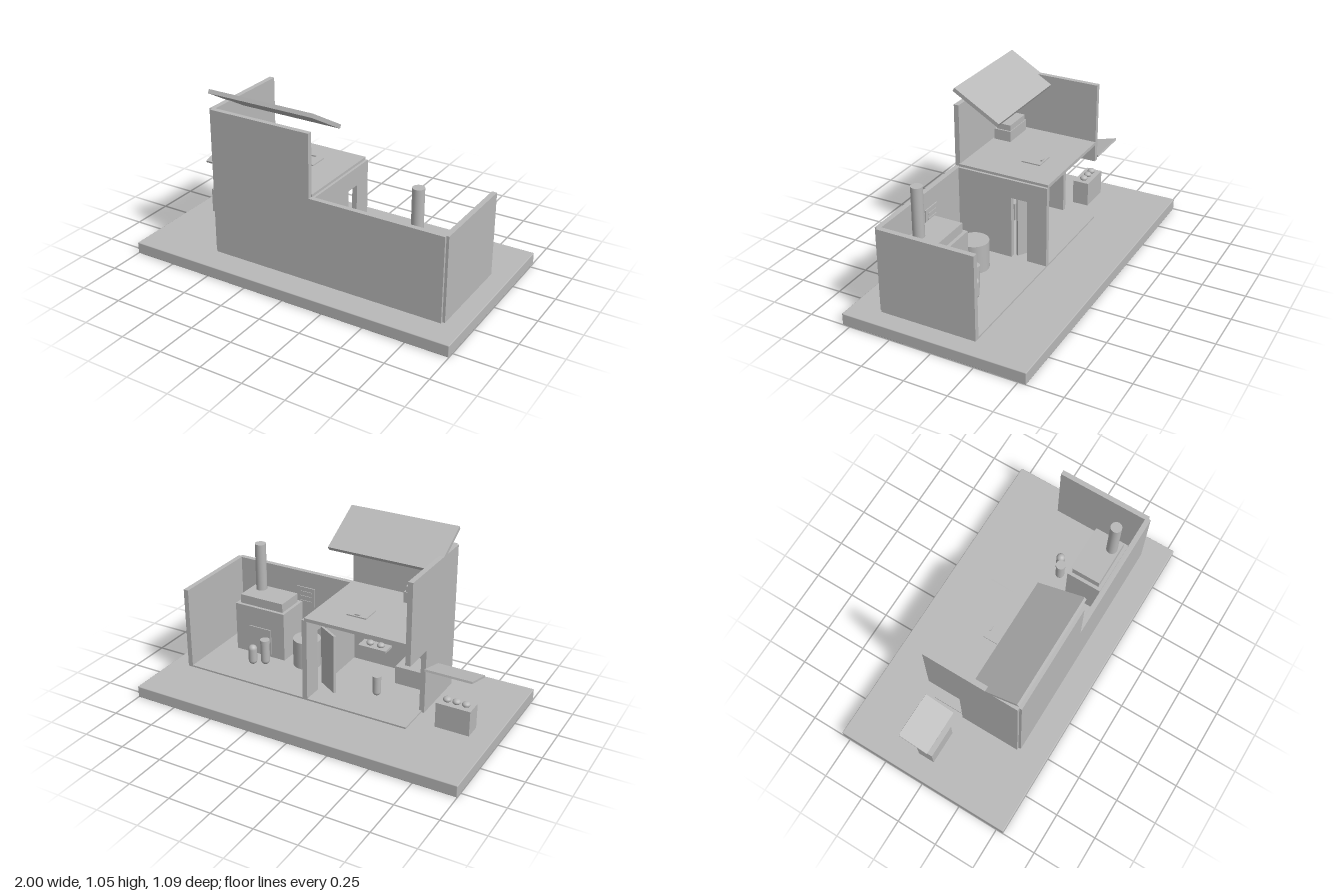
import * as THREE from 'three';
import { RoundedBoxGeometry } from 'three/addons/geometries/RoundedBoxGeometry.js';

export function createModel() {
  const model = new THREE.Group();
  const clay = new THREE.MeshStandardMaterial({ color: 0xb8b8b8 });
  clay.name = 'clay grey';

  function add(name, geometry, x = 0, y = 0, z = 0, parent = model) {
    const mesh = new THREE.Mesh(geometry, clay);
    mesh.name = name;
    mesh.position.set(x, y, z);
    parent.add(mesh);
    return mesh;
  }
  // box given by its lower and upper limits on each axis
  function box(name, [x0, x1], [y0, y1], [z0, z1], parent) {
    return add(name, new THREE.BoxGeometry(x1 - x0, y1 - y0, z1 - z0),
      (x0 + x1) / 2, (y0 + y1) / 2, (z0 + z1) / 2, parent);
  }
  function cylinder(name, r, y0, y1, x, z, parent) {
    return add(name, new THREE.CylinderGeometry(r, r, y1 - y0, 32), x, (y0 + y1) / 2, z, parent);
  }
  function extrude(points, depth) {
    const shape = new THREE.Shape(points.map(([a, b]) => new THREE.Vector2(a, b)));
    return new THREE.ExtrudeGeometry(shape, { depth, bevelEnabled: false });
  }
  // side wall outlined by (z, y) points, between x0 and x1
  function sideWall(name, points, x0, x1) {
    add(name, extrude(points, x1 - x0).rotateY(-Math.PI / 2), x1);
  }
  function group(name) {
    const g = new THREE.Group();
    g.name = name;
    model.add(g);
    return g;
  }
  function loaf(name, x, y, z, parent) {
    add(name, new THREE.SphereGeometry(0.023, 20, 14).scale(1, 0.7, 1), x, y, z, parent);
  }

  // ground and floors
  add('base', new RoundedBoxGeometry(2, 0.07, 1.09, 2, 0.005), 0, 0.035, 0);
  box('groundFloor', [-0.545, 0.875], [0.068, 0.08], [-0.2, 0.37]);
  box('upperFloor', [-0.535, 0.085], [0.565, 0.585], [-0.2, 0.36]);

  // walls: stepped front, plain right end, and two with doorways
  add('frontWall', extrude([[-0.545, 0.07], [0.875, 0.07], [0.875, 0.57],
    [0.08, 0.57], [0.08, 0.94], [-0.545, 0.94]], 0.03), 0, 0, 0.355);
  box('workshopWall', [0.86, 0.89], [0.07, 0.57], [-0.2, 0.37]);
  sideWall('shopWall', [[0, 0.07], [0.37, 0.07], [0.37, 0.94], [-0.2, 0.94],
    [-0.2, 0.46], [0, 0.46]], -0.56, -0.53);
  sideWall('partition', [[-0.2, 0.07], [-0.08, 0.07], [-0.08, 0.46], [0.02, 0.46],
    [0.02, 0.07], [0.36, 0.07], [0.36, 0.57], [-0.2, 0.57]], 0.07, 0.1);

  // open inner door, hinged on the partition
  const door = add('door', new THREE.BoxGeometry(0.145, 0.36, 0.015), 0.02, 0.27, -0.045);
  door.rotation.y = -0.55;

  // raised roof and the awning over the stall
  const roof = add('roof', new THREE.BoxGeometry(0.66, 0.023, 0.316), -0.23, 0.96, 0.235);
  roof.rotation.x = -Math.PI / 6;
  const awning = add('awning', new THREE.BoxGeometry(0.27, 0.012, 0.184), -0.765, 0.421, -0.088);
  awning.rotation.x = 0.27;

  // market stall
  const stall = group('stall');
  box('stallCrate', [-0.87, -0.67], [0.07, 0.22], [-0.1, 0], stall);
  for (const x of [-0.825, -0.77, -0.715]) loaf('goods', x, 0.23, -0.05, stall);

  // oven with stepped top, door and chimney
  const oven = group('oven');
  box('ovenBody', [0.415, 0.75], [0.08, 0.385], [0.115, 0.33], oven);
  box('ovenTop', [0.435, 0.725], [0.385, 0.44], [0.135, 0.31], oven);
  box('ovenDoor', [0.505, 0.655], [0.1, 0.26], [0.108, 0.115], oven);
  cylinder('chimney', 0.033, 0.44, 0.735, 0.66, 0.265, oven);

  // workshop furniture
  cylinder('roundTable', 0.083, 0.08, 0.25, 0.28, 0.155);
  box('wallBoard', [0.34, 0.46], [0.35, 0.47], [0.348, 0.355]);
  for (const y of [0.38, 0.41, 0.44]) box('boardSlat', [0.36, 0.44], [y - 0.004, y + 0.004], [0.344, 0.348]);

  // simple capsule figures, some with a flat cap
  function figure(name, x, z, r, height, capped) {
    const g = group(name);
    g.position.set(x, 0.08, z);
    add('body', new THREE.CapsuleGeometry(r, height - 2 * r, 8, 24), 0, height / 2, 0, g);
    if (capped) cylinder('cap', r * 1.08, height - r * 0.9, height, 0, 0, g);
  }
  figure('worker', 0.495, 0.03, 0.027, 0.16, true);
  figure('helper', 0.56, -0.005, 0.026, 0.125, false);
  figure('shopkeeper', -0.25, 0.03, 0.024, 0.125, true);

  // shop furniture
  const shelf = group('shelf');
  box('shelfBoard', [-0.18, 0], [0.21, 0.225], [0.27, 0.355], shelf);
  for (const x of [-0.13, -0.06]) loaf('shelfGoods', x, 0.236, 0.31, shelf);
  box('counter', [-0.53, -0.28], [0.08, 0.19], [0.2, 0.355]);

  // upper room: chest with lid and floor hatch
  box('chest', [-0.5, -0.3], [0.585, 0.65], [0.24, 0.345]);
  box('chestLid', [-0.49, -0.31], [0.65, 0.685], [0.245, 0.335]);
  box('hatch', [-0.22, -0.1], [0.585, 0.592], [-0.055, 0.06]);
  box('hatchHandle', [-0.175, -0.145], [0.592, 0.6], [-0.046, -0.036]);

  return model;
}
